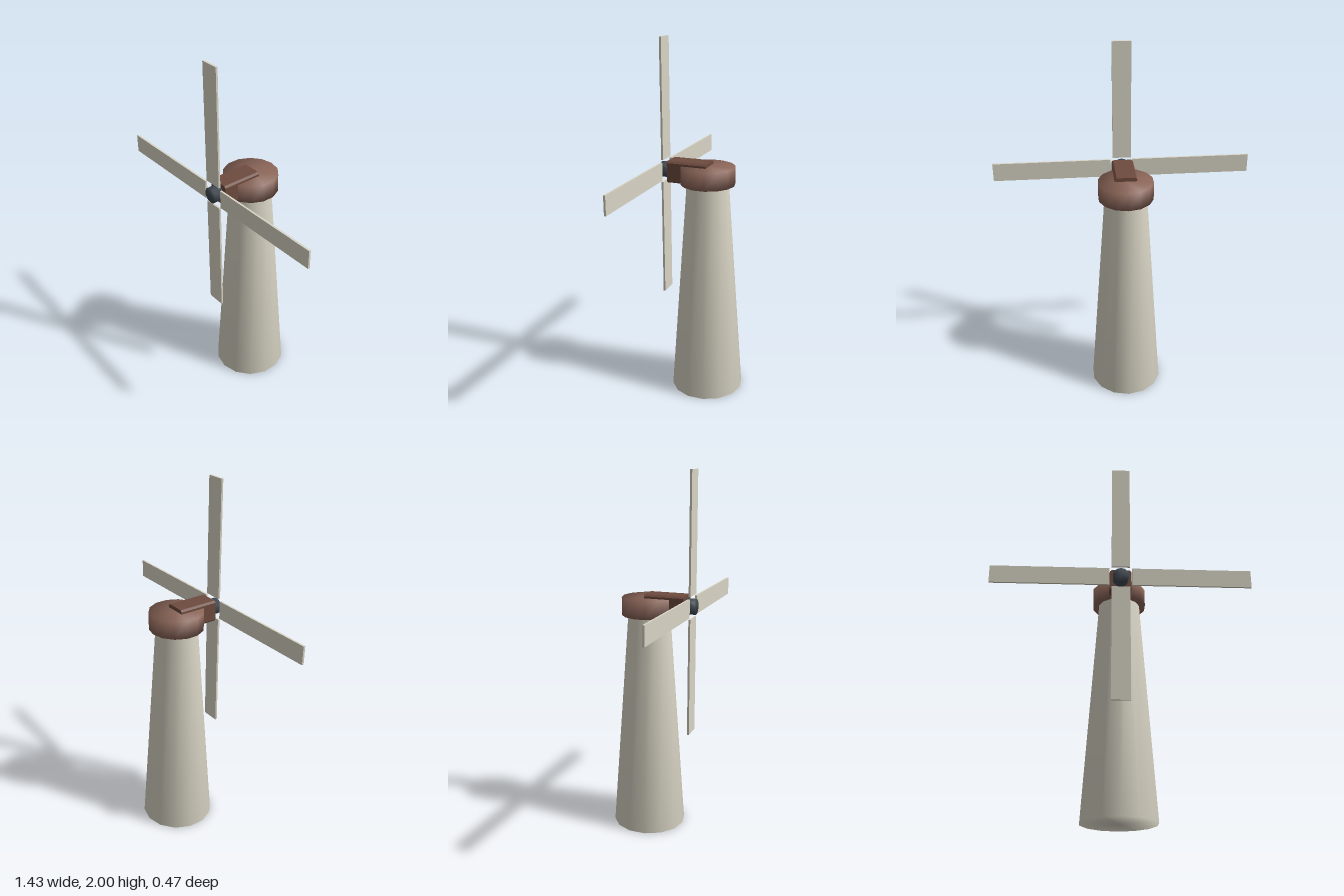
import * as THREE from 'three';
import { mergeVertices } from 'three/addons/utils/BufferGeometryUtils.js';

const mat = (color) => new THREE.MeshStandardMaterial({ color });
const cream = mat(0xd8d4c4), brown = mat(0x6e4a3e), capBrown = mat(0x8a6558), steel = mat(0x414a52);

// Cylinder whose normals blend softly over its rims
function softCylinder(rTop, rBottom, height, sides) {
  const g = new THREE.CylinderGeometry(rTop, rBottom, height, sides);
  g.deleteAttribute('normal');
  g.deleteAttribute('uv');
  const merged = mergeVertices(g, 1e-4);
  merged.computeVertexNormals();
  return merged;
}

function addPart(parent, name, geometry, material, x, y, z) {
  const mesh = new THREE.Mesh(geometry, material);
  mesh.name = name;
  mesh.position.set(x, y, z);
  parent.add(mesh);
  return mesh;
}

export function createModel() {
  const model = new THREE.Group();
  model.name = 'windmill';
  const axisZ = -0.033, hubY = 1.285;

  // Tapered tower and the cap on top
  addPart(model, 'tower', softCylinder(0.115, 0.204, 1.24, 14), cream, 0, 0.62, axisZ);
  addPart(model, 'cap', softCylinder(0.15, 0.15, 0.1, 14), capBrown, 0, 1.274, axisZ - 0.001);

  // Shaft housing: a block with its long edges chamfered
  const h = 0.06, c = 0.01;
  const outline = new THREE.Shape([
    [h - c, -h], [h, c - h], [h, h - c], [h - c, h],
    [c - h, h], [-h, h - c], [-h, c - h], [c - h, -h],
  ].map(([x, y]) => new THREE.Vector2(x, y)));
  const housing = new THREE.ExtrudeGeometry(outline, { depth: 0.225, bevelEnabled: false });
  addPart(model, 'shaftHousing', housing, brown, 0, hubY, -0.042);

  // Hub on the front of the housing
  const hub = addPart(model, 'hub', softCylinder(0.044, 0.044, 0.06, 14), steel, 0, hubY, 0.205);
  hub.rotation.x = Math.PI / 2;

  // Four sails around the hub
  const sails = new THREE.Group();
  sails.name = 'sails';
  sails.position.set(0, hubY, 0.214);
  model.add(sails);
  const inner = 0.062, outer = 0.715;
  for (let i = 0; i < 4; i++) {
    const arm = new THREE.Group();
    arm.name = 'sailArm';
    arm.rotation.z = i * Math.PI / 2;
    sails.add(arm);
    addPart(arm, 'sail', new THREE.BoxGeometry(0.102, outer - inner, 0.011), cream, 0, (inner + outer) / 2, 0);
  }
  return model;
}
